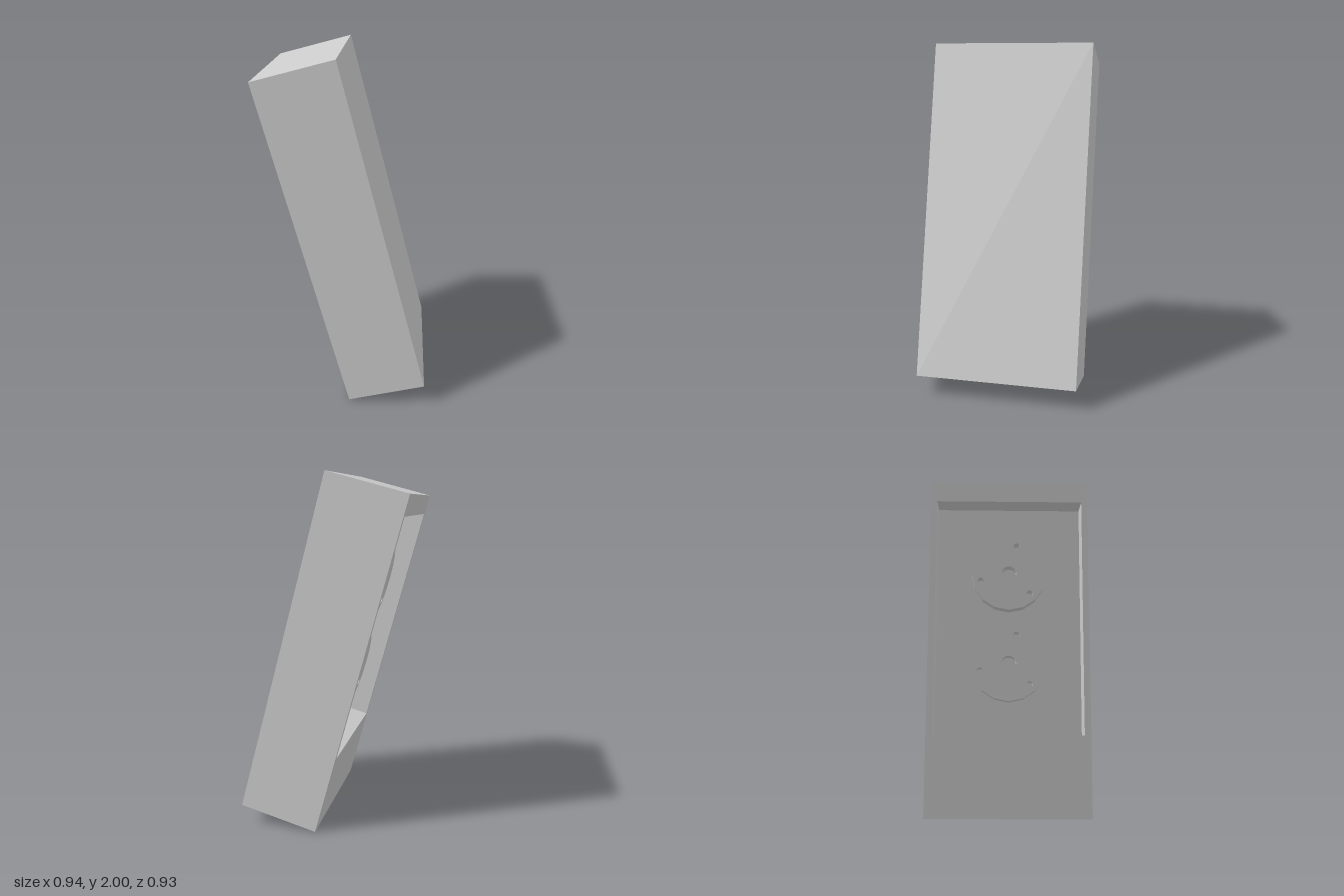
import * as THREE from 'three';
import { mergeGeometries } from 'three/addons/utils/BufferGeometryUtils.js';

const W = 0.927, H = 1.949, T = 0.455;        // width, length, thickness of the case
const POCKET = { w: 0.854, y0: -0.519, y1: 0.857, depth: 0.14 };
const DISC = { r: 0.22, height: 0.07, ys: [0.437, -0.102] };

// Box without its +z face; inward turns its walls to face the inside
function openBox(w, h, d, inward = false) {
  const g = new THREE.BoxGeometry(w, h, d);
  const index = Array.from(g.index.array);
  index.splice(24, 6);
  if (inward) {
    index.reverse();
    const n = g.attributes.normal;
    for (let i = 0; i < n.count; i++) n.setXYZ(i, -n.getX(i), -n.getY(i), -n.getZ(i));
  }
  g.setIndex(index);
  g.clearGroups();
  return g;
}

function rectangle(path, x0, y0, x1, y1) {
  path.moveTo(x0, y0);
  path.lineTo(x1, y0);
  path.lineTo(x1, y1);
  path.lineTo(x0, y1);
  path.closePath();
  return path;
}

// Case: outer walls, rim around the opening, and the recessed pocket
function caseGeometry() {
  const { w, y0, y1, depth } = POCKET;
  const rim = rectangle(new THREE.Shape(), -W / 2, -H / 2, W / 2, H / 2);
  rim.holes.push(rectangle(new THREE.Path(), -w / 2, y0, w / 2, y1));
  return mergeGeometries([
    openBox(W, H, T),
    new THREE.ShapeGeometry(rim).translate(0, 0, T / 2),
    openBox(w, y1 - y0, depth, true).translate(0, (y0 + y1) / 2, T / 2 - depth / 2),
  ]);
}

// Mounting disc with a centre bore and three bolt holes
function discGeometry() {
  const circle = (path, x, y, r) => path.absarc(x, y, r, 0, Math.PI * 2, false);
  const shape = circle(new THREE.Shape(), 0, 0, DISC.r);
  shape.holes.push(circle(new THREE.Path(), 0, 0, 0.045));
  for (let i = 0; i < 3; i++) {
    const a = THREE.MathUtils.degToRad(75 + 120 * i);
    shape.holes.push(circle(new THREE.Path(), 0.173 * Math.cos(a), 0.173 * Math.sin(a), 0.02));
  }
  return new THREE.ExtrudeGeometry(shape, { depth: DISC.height, bevelEnabled: false, curveSegments: 8 });
}

export function createModel() {
  const material = new THREE.MeshStandardMaterial({ color: 0xcccccc });
  const panel = new THREE.Group();
  panel.name = 'panel';
  panel.rotation.y = -Math.PI / 2;            // opening faces -x

  const body = new THREE.Mesh(caseGeometry(), material);
  body.name = 'case';
  panel.add(body);

  const discShape = discGeometry();
  DISC.ys.forEach((y, i) => {
    const disc = new THREE.Mesh(discShape, material);
    disc.name = i === 0 ? 'upperDisc' : 'lowerDisc';
    disc.position.set(0, y, T / 2 - POCKET.depth);
    panel.add(disc);
  });

  // Whole unit leans 15 degrees towards -x
  const tilt = new THREE.Group();
  tilt.name = 'tiltedUnit';
  tilt.rotation.z = THREE.MathUtils.degToRad(15);
  tilt.position.y = 1;
  tilt.add(panel);

  const model = new THREE.Group();
  model.name = 'leaningCase';
  model.add(tilt);
  return model;
}
